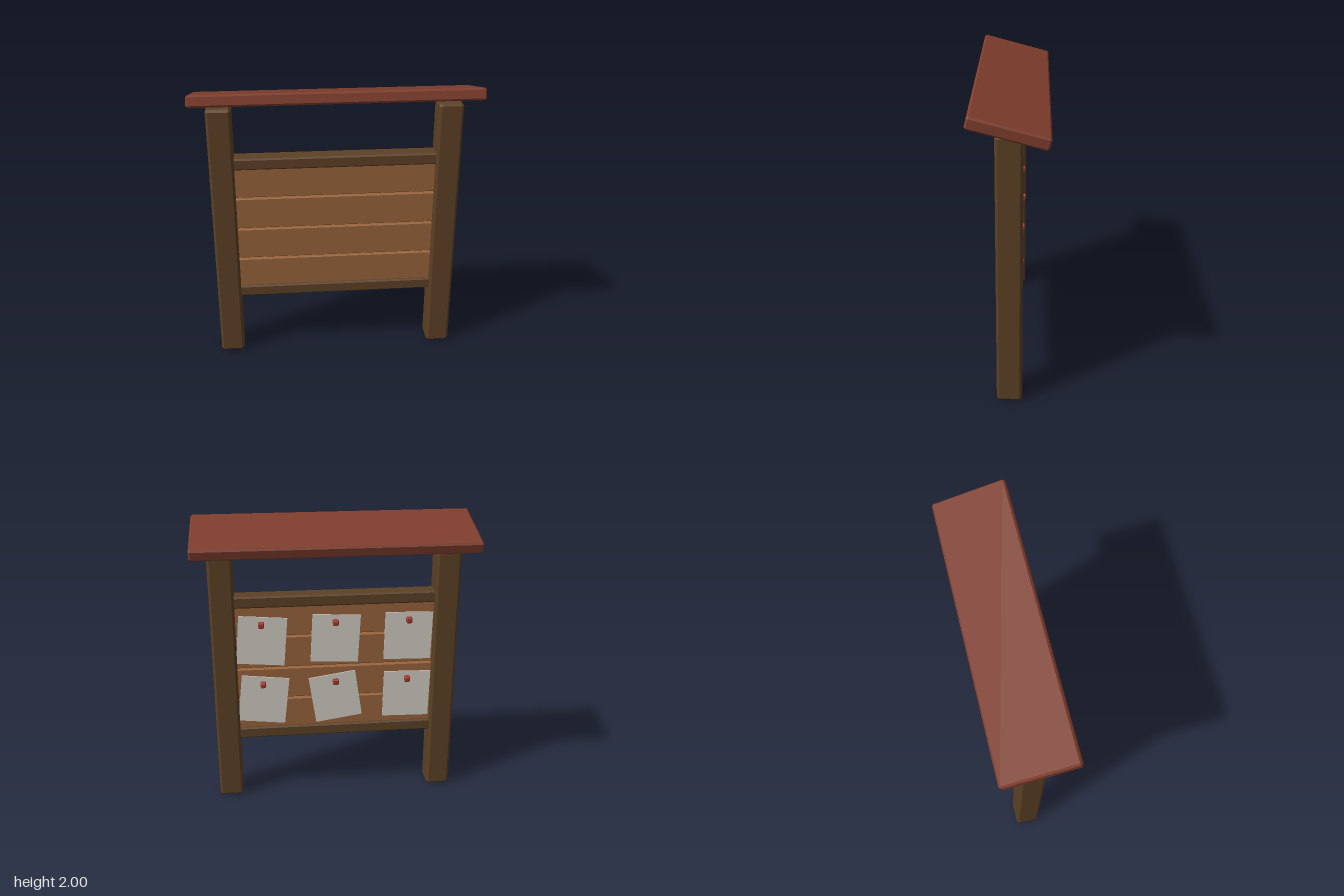
import * as THREE from 'three';
import { ConvexGeometry } from 'three/addons/geometries/ConvexGeometry.js';

const mat = (color) => new THREE.MeshStandardMaterial({ color });

// Box with flat chamfered edges
function chamferBox(w, h, d, c) {
  const pts = [];
  for (const x of [-1, 1]) for (const y of [-1, 1]) for (const z of [-1, 1]) {
    for (let a = 0; a < 3; a++) {
      pts.push(new THREE.Vector3(
        x * (w / 2 - (a === 0 ? 0 : c)),
        y * (h / 2 - (a === 1 ? 0 : c)),
        z * (d / 2 - (a === 2 ? 0 : c))));
    }
  }
  return new ConvexGeometry(pts);
}

export function createModel() {
  const model = new THREE.Group();
  model.name = 'noticeBoard';
  const frameMat = mat(0x5c4024), plankMat = mat(0x98633b), roofMat = mat(0x7e3d2d);
  const paperMat = mat(0xd0ccc2), pinMat = mat(0xa03a30);

  const add = (name, geometry, material, x, y, z, parent = model) => {
    const mesh = new THREE.Mesh(geometry, material);
    mesh.name = name;
    mesh.position.set(x, y, z);
    parent.add(mesh);
    return mesh;
  };

  // Posts
  const post = chamferBox(0.165, 1.85, 0.165, 0.016);
  add('leftPost', post, frameMat, 0.76, 0.925, 0);
  add('rightPost', post, frameMat, -0.76, 0.925, 0);

  // Rails above and below the planks
  const rail = chamferBox(1.4, 0.08, 0.12, 0.01);
  add('topRail', rail, frameMat, 0, 1.46, 0);
  add('bottomRail', rail, frameMat, 0, 0.488, 0);

  // Four planks with narrow gaps
  const plank = chamferBox(1.4, 0.222, 0.08, 0.006);
  for (let i = 0; i < 4; i++) {
    add('plank' + (i + 1), plank, plankMat, 0, 0.975 + (i - 1.5) * 0.232, 0);
  }

  // Sloping roof, high at the front
  const roof = add('roof', chamferBox(1.885, 0.078, 0.492, 0.012), roofMat, 0, 1.9, 0);
  roof.rotation.x = -0.26;

  // Notices pinned to the back, each slightly askew
  const paper = new THREE.BoxGeometry(0.33, 0.345, 0.008);
  const pin = chamferBox(0.04, 0.04, 0.04, 0.007);
  const tilts = [[0.02, 0.05, 0.08], [0.02, -0.15, 0.11]];
  tilts.forEach((row, r) => row.forEach((tilt, c) => {
    const x = (c - 1) * 0.505, y = r === 0 ? 1.18 : 0.74;
    add('notice', paper, paperMat, x, y, -0.046).rotation.z = tilt;
    add('pin', pin, pinMat, x, y + 0.122, -0.067);
  }));

  return model;
}
